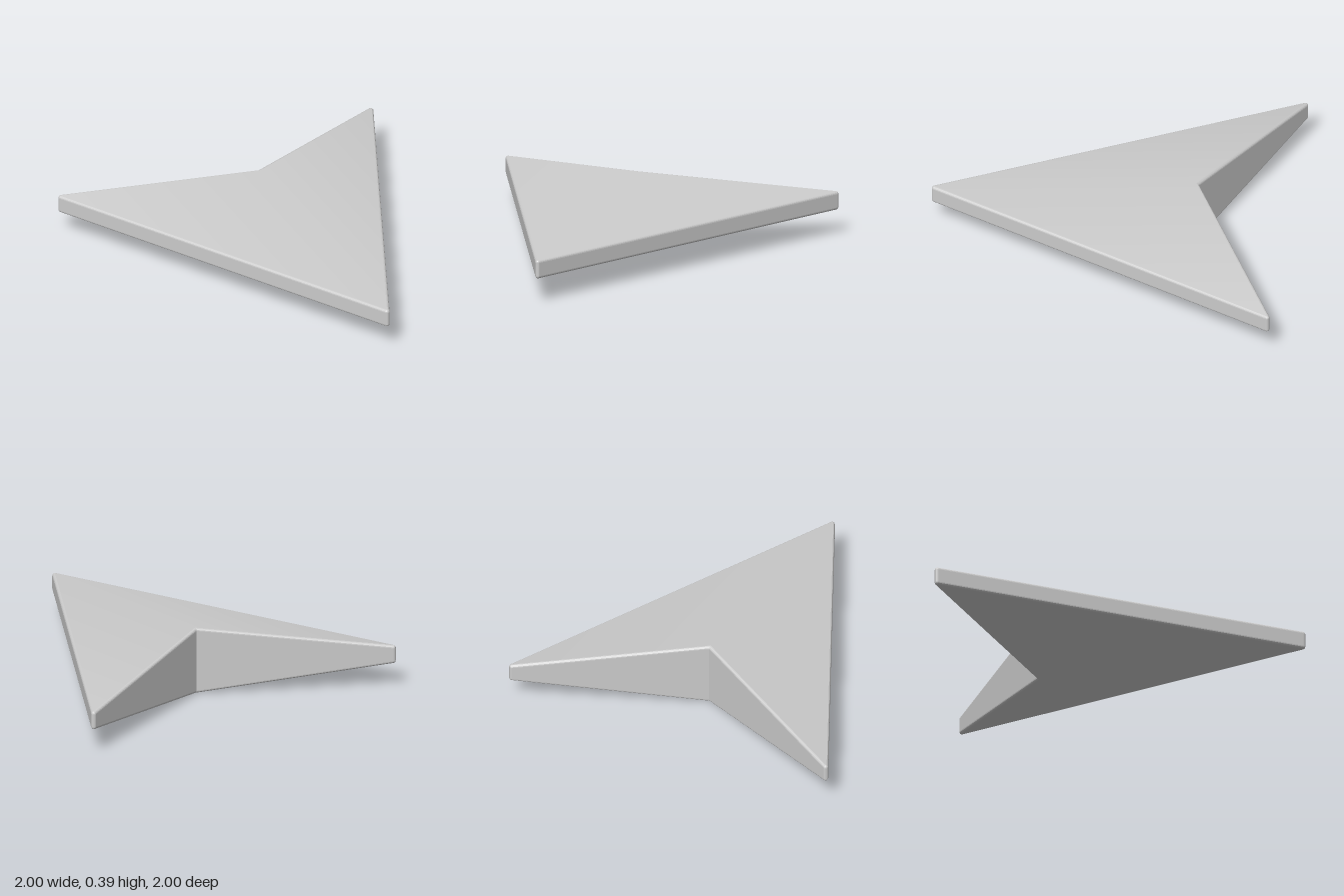
import * as THREE from 'three';

const MID = 0.193;    // height of the symmetry plane
const BEVEL = 0.015;  // edge rounding radius

// Plan corners: x, z and half thickness, counter-clockwise from above
const CORNERS = [
  { x: 0, z: 1 - BEVEL, h: 0.053 },             // nose
  { x: 1 - BEVEL, z: -1 + BEVEL, h: 0.053 },    // left wing tip
  { x: 0, z: -0.48, h: 0.193 },                 // rear notch, thickest point
  { x: -1 + BEVEL, z: -1 + BEVEL, h: 0.053 },   // right wing tip
];

// Outline samples: rounded arcs on the tips, a mitre in the concave notch
function outline(arcSteps = 6) {
  const angle = (a, b) => Math.atan2(b.x - a.x, -(b.z - a.z));
  const points = [];
  CORNERS.forEach((c, i) => {
    const a0 = angle(CORNERS[(i + 3) % 4], c);
    let turn = angle(c, CORNERS[(i + 1) % 4]) - a0;
    turn = Math.atan2(Math.sin(turn), Math.cos(turn));
    const concave = turn > 0;
    const steps = concave ? 0 : arcSteps;
    for (let k = 0; k <= steps; k++) {
      const a = a0 + turn * (concave ? 0.5 : k / steps);
      const r = concave ? 1 / Math.cos(turn / 2) : 1;
      points.push({ c, nx: r * Math.cos(a), nz: r * Math.sin(a) });
    }
  });
  return points;
}

// Vertical sides with rounded upper and lower edges
function rimGeometry(bevelSteps = 4) {
  const points = outline(), n = points.length;
  const positions = [], indices = [];
  const levels = [];
  for (const side of [-1, 1]) {
    for (let k = 0; k <= bevelSteps; k++) {
      const t = side < 0 ? bevelSteps - k : k;
      levels.push({ side, phi: (t / bevelSteps) * Math.PI / 2 });
    }
  }
  for (const { side, phi } of levels) {
    const r = BEVEL * Math.cos(phi);
    for (const { c, nx, nz } of points) {
      const y = MID + side * (c.h - BEVEL + BEVEL * Math.sin(phi));
      positions.push(c.x + r * nx, y, c.z + r * nz);
    }
  }
  for (let l = 0; l < levels.length - 1; l++) {
    for (let i = 0; i < n; i++) {
      const a = l * n + i, b = l * n + (i + 1) % n;
      indices.push(a, b, b + n, a, b + n, a + n);
    }
  }
  const g = new THREE.BufferGeometry();
  g.setAttribute('position', new THREE.Float32BufferAttribute(positions, 3));
  g.setIndex(indices);
  return g;
}

// Two sloping facets meeting softly on the centre ridge
function faceGeometry(side) {
  const g = new THREE.BufferGeometry();
  const positions = CORNERS.flatMap((c) => [c.x, MID + side * c.h, c.z]);
  g.setAttribute('position', new THREE.Float32BufferAttribute(positions, 3));
  g.setIndex(side > 0 ? [0, 1, 2, 0, 2, 3] : [0, 2, 1, 0, 3, 2]);
  g.computeVertexNormals();
  return g;
}

export function createModel() {
  const group = new THREE.Group();
  group.name = 'arrowhead';
  const add = (name, geometry, flatShading = false) => {
    const material = new THREE.MeshStandardMaterial({ color: 0xcccccc, flatShading });
    const mesh = new THREE.Mesh(geometry, material);
    mesh.name = name;
    group.add(mesh);
  };
  const rim = rimGeometry().toNonIndexed();
  rim.computeVertexNormals();
  add('rim', rim, true);
  add('topFace', faceGeometry(1));
  add('bottomFace', faceGeometry(-1));
  return group;
}
